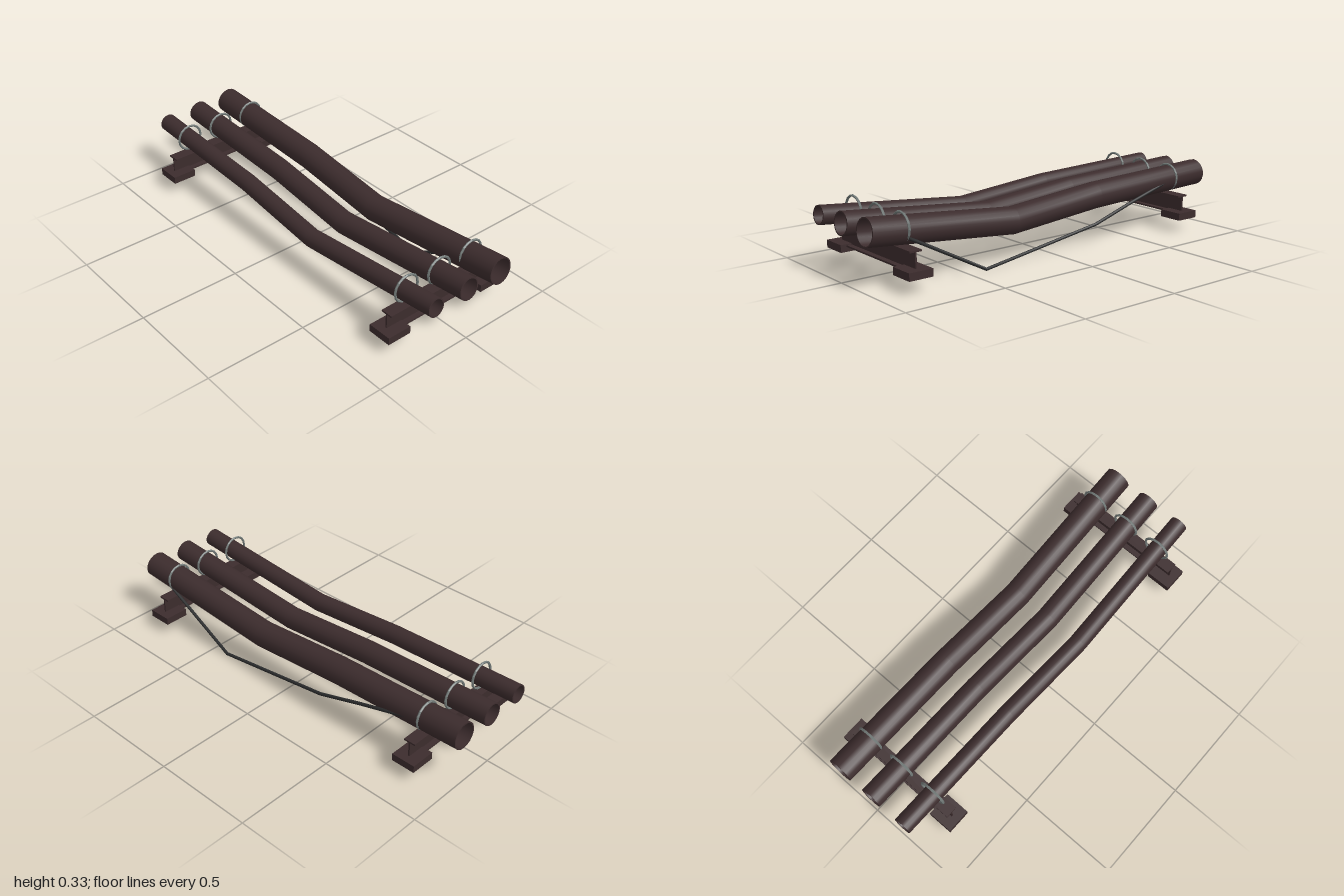
import * as THREE from 'three';

const V = (x, y, z) => new THREE.Vector3(x, y, z);

// Circles of points along a path, each square to the mean direction at its point
function ringsAlong(path, radius, sides) {
  return path.map((p, i) => {
    const before = path[Math.max(i - 1, 0)];
    const after = path[Math.min(i + 1, path.length - 1)];
    const dir = after.clone().sub(before).normalize();
    const side = dir.clone().cross(V(0, 1, 0)).normalize();
    const up = side.clone().cross(dir);
    return Array.from({ length: sides }, (_, j) => {
      const a = (j / sides) * Math.PI * 2;
      return p.clone().addScaledVector(up, Math.cos(a) * radius).addScaledVector(side, Math.sin(a) * radius);
    });
  });
}

// Skin between successive rings
function loft(rings) {
  const n = rings[0].length;
  const index = [];
  for (let i = 0; i < rings.length - 1; i++) {
    for (let j = 0; j < n; j++) {
      const a = i * n + j, b = i * n + ((j + 1) % n);
      index.push(a, b, a + n, b, b + n, a + n);
    }
  }
  const g = new THREE.BufferGeometry().setFromPoints(rings.flat());
  g.setIndex(index);
  g.computeVertexNormals();
  return g;
}

export function createModel() {
  const model = new THREE.Group();
  const rust = new THREE.MeshStandardMaterial({ color: 0x3c2c2d });
  rust.name = 'dark rusty steel';
  const rubber = new THREE.MeshStandardMaterial({ color: 0x2b2c2d });
  rubber.name = 'black cable';
  const wire = new THREE.MeshStandardMaterial({ color: 0x727a78, flatShading: true });
  wire.name = 'grey wire';

  function add(parent, name, geometry, material, x = 0, y = 0, z = 0) {
    const mesh = new THREE.Mesh(geometry, material);
    mesh.name = name;
    mesh.position.set(x, y, z);
    parent.add(mesh);
    return mesh;
  }

  // Open tube (thickness < radius) or solid rod (thickness = radius)
  function addTube(name, path, radius, thickness, sides, material) {
    const group = new THREE.Group();
    group.name = name;
    const outer = ringsAlong(path, radius, sides);
    const inner = ringsAlong(path, radius - thickness, sides);
    const last = path.length - 1;
    add(group, 'outerWall', loft(outer), material);
    if (thickness < radius) add(group, 'innerWall', loft([...inner].reverse()), material);
    add(group, 'rightEnd', loft([inner[0], outer[0]]), material);
    add(group, 'leftEnd', loft([outer[last], inner[last]]), material);
    model.add(group);
  }

  // Three sagging pipes of growing size
  const pipes = [['frontPipe', 0.193, 0.045], ['middlePipe', 0, 0.055], ['backPipe', -0.193, 0.065]];
  for (const [name, z, r] of pipes) {
    const path = [V(-0.998, 0.263, z), V(-0.29, 0.238, z + 0.004), V(0.21, 0.19, z + 0.014), V(0.992, 0.266, z)];
    addTube(name, path, r, 0.006, 18, rust);
  }

  // Two supports, each an I-beam on two pads with a wire loop per pipe
  for (const [name, x] of [['rightSupport', -0.798], ['leftSupport', 0.815]]) {
    const support = new THREE.Group();
    support.name = name;
    support.position.x = x;
    model.add(support);
    add(support, 'topFlange', new THREE.BoxGeometry(0.06, 0.008, 0.604), rust, 0, 0.178, 0);
    add(support, 'web', new THREE.BoxGeometry(0.008, 0.08, 0.604), rust, 0, 0.136, 0);
    add(support, 'bottomFlange', new THREE.BoxGeometry(0.06, 0.008, 0.604), rust, 0, 0.094, 0);
    for (const s of [1, -1]) {
      add(support, 'pad', new THREE.BoxGeometry(0.12, 0.036, 0.124), rust, 0, 0.085, s * 0.278);
    }
    for (const [, z] of pipes) {
      const loop = add(support, 'wireLoop', new THREE.TorusGeometry(0.0655, 0.006, 5, 16), wire, 0, 0.262, z);
      loop.rotation.y = Math.PI / 2;
    }
  }

  // Loose cable hanging below the back pipe
  const cable = [V(-0.8, 0.268, -0.245), V(-0.47, 0.182, -0.256), V(-0.24, 0.115, -0.262), V(0.41, 0.012, -0.251), V(0.81, 0.222, -0.245)];
  addTube('hangingCable', cable, 0.008, 0.008, 8, rubber);

  return model;
}
